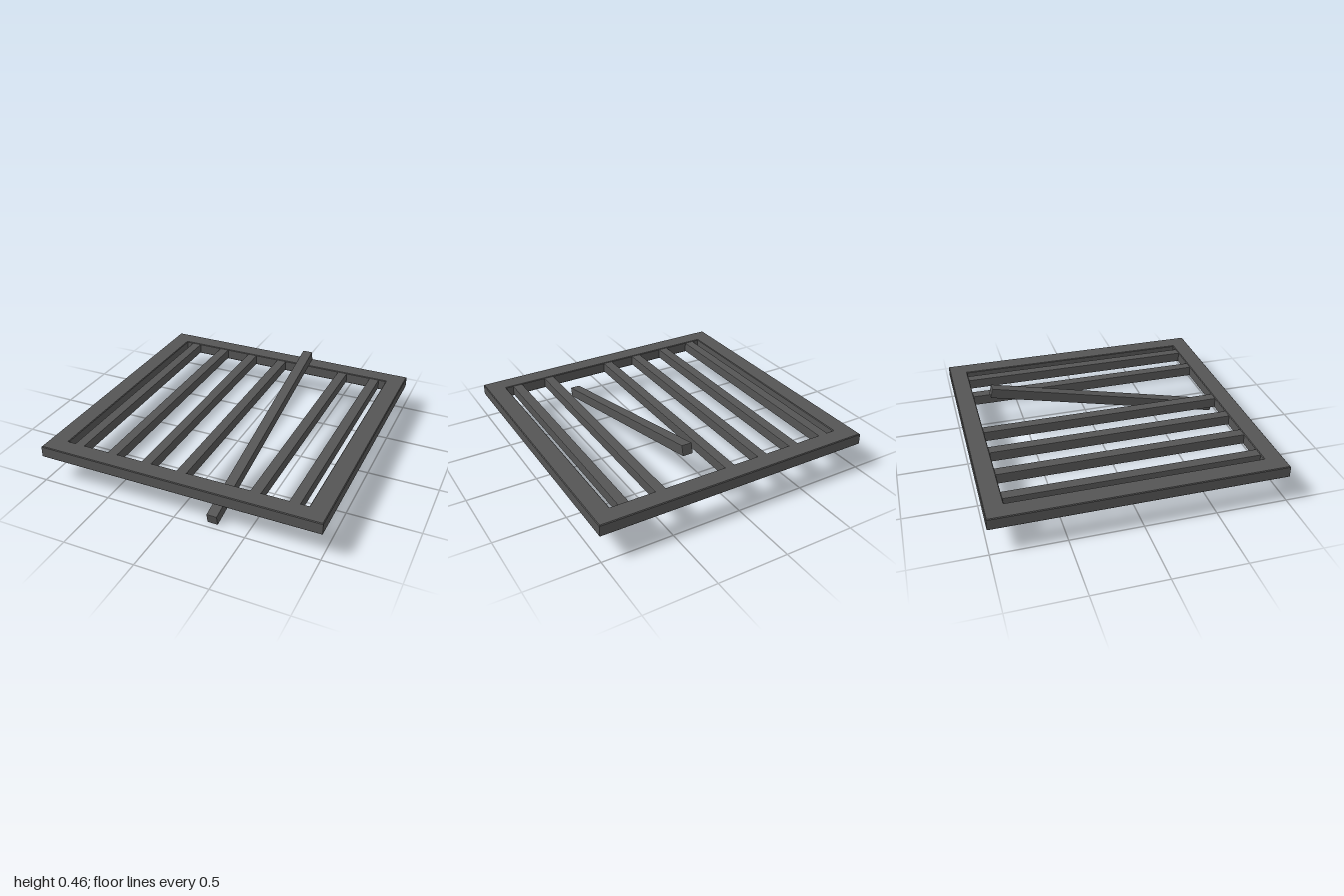
import * as THREE from 'three';
import { RoundedBoxGeometry } from 'three/addons/geometries/RoundedBoxGeometry.js';

const BEVEL = 0.005;
const FRAME_BOTTOM = 0.195, FRAME_HEIGHT = 0.083;
const BAR_LENGTH = 1.77, BAR_SIZE = 0.074;

function rectangle(target, x, y) {
  target.moveTo(-x, -y);
  target.lineTo(x, -y);
  target.lineTo(x, y);
  target.lineTo(-x, y);
  target.closePath();
  return target;
}

export function createModel() {
  const model = new THREE.Group();
  model.name = 'brokenGrate';
  const iron = new THREE.MeshStandardMaterial({ color: 0x555555, flatShading: true });

  // Square outer frame with a slightly bevelled edge
  const outline = rectangle(new THREE.Shape(), 1, 1);
  outline.holes.push(rectangle(new THREE.Path(), 0.868, 0.87));
  const frameGeometry = new THREE.ExtrudeGeometry(outline, {
    depth: FRAME_HEIGHT - 2 * BEVEL,
    bevelThickness: BEVEL, bevelSize: BEVEL, bevelOffset: -BEVEL, bevelSegments: 1,
  });
  frameGeometry.rotateX(-Math.PI / 2);
  const frame = new THREE.Mesh(frameGeometry, iron);
  frame.name = 'frame';
  frame.position.y = FRAME_BOTTOM + BEVEL;
  model.add(frame);

  // Seven evenly spaced bars, their ends set into the frame
  const barGeometry = new RoundedBoxGeometry(BAR_SIZE, BAR_SIZE, BAR_LENGTH, 1, BEVEL);
  for (let i = -3; i <= 3; i++) {
    const bar = new THREE.Mesh(barGeometry, iron);
    bar.position.set(i * 0.259 - 0.003, FRAME_BOTTOM + FRAME_HEIGHT / 2, 0);
    bar.name = 'bar';
    // One bar has come loose and hangs at a slant
    if (i === 1) {
      bar.name = 'looseBar';
      bar.position.set(0.257, 0.233, 0.1);
      bar.rotation.x = 0.221;
    }
    model.add(bar);
  }
  return model;
}
